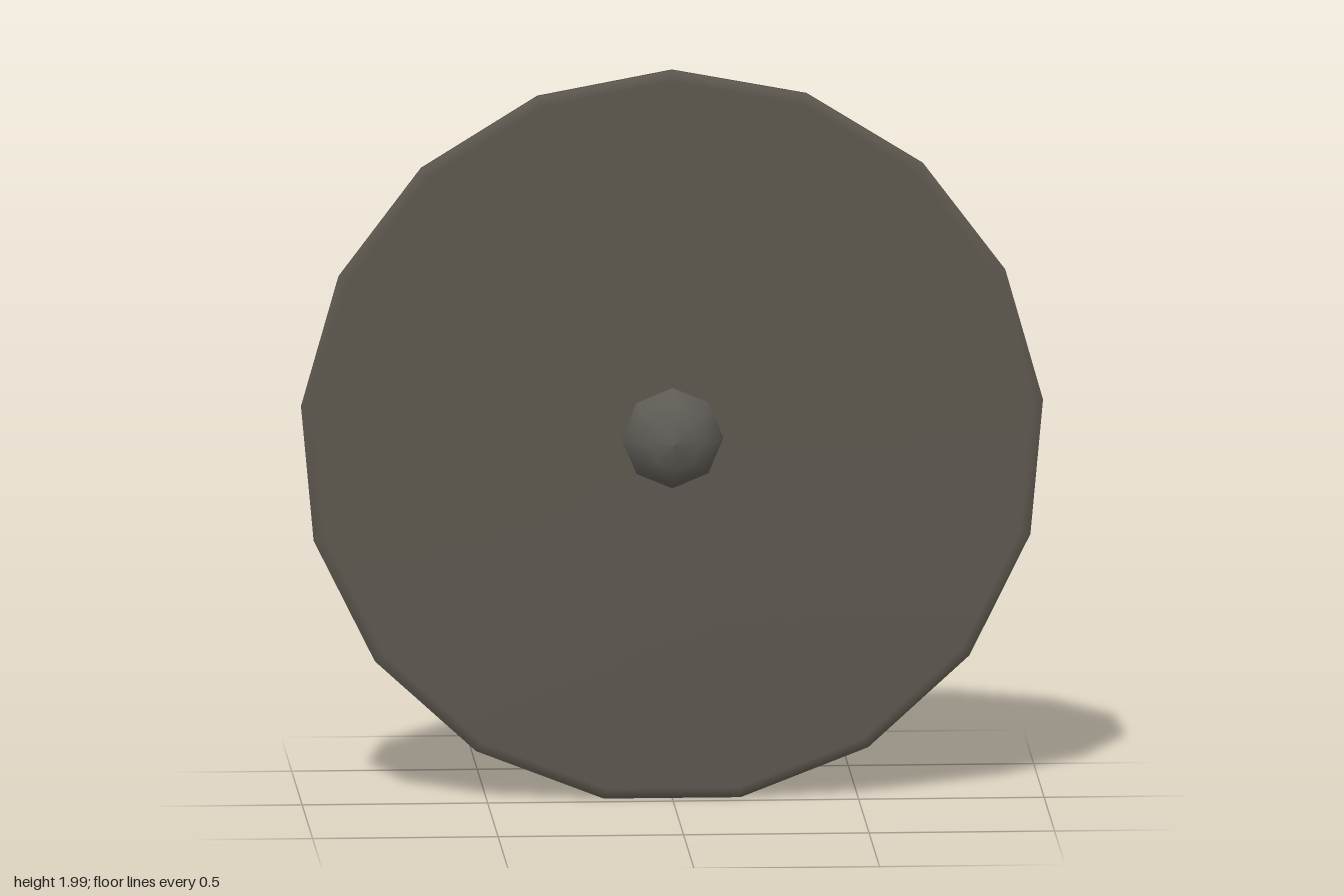
import * as THREE from 'three';

const CENTRE_Y = 0.987;

const boardPaint = new THREE.MeshStandardMaterial({ color: 0x5c574e });
boardPaint.name = 'dark board';
const bossMetal = new THREE.MeshStandardMaterial({ color: 0x5e5b55 });
bossMetal.name = 'dull iron';
const gripWood = new THREE.MeshStandardMaterial({ color: 0x675437 });
gripWood.name = 'grip wood';

// Turns a [radius, z] profile about the z axis, with one corner at the top
function turned(name, profile, sides, material) {
  const points = profile.map(([r, z]) => new THREE.Vector2(r, z));
  const geometry = new THREE.LatheGeometry(points, sides, Math.PI, Math.PI * 2);
  geometry.rotateX(Math.PI / 2);
  const mesh = new THREE.Mesh(geometry, material);
  mesh.name = name;
  mesh.position.y = CENTRE_Y;
  return mesh;
}

export function createModel() {
  const shield = new THREE.Group();
  shield.name = 'roundShield';

  // Slightly dished board with a bevelled rim and a hole behind the boss
  shield.add(turned('board', [
    [0.118, -0.06], [0.975, -0.071], [1.004, -0.062], [1.004, -0.048],
    [0.975, -0.039], [0.118, -0.034],
  ], 17, boardPaint));

  // Wall of the hole
  shield.add(turned('holeWall', [[0.118, -0.034], [0.118, -0.06]], 17, boardPaint));

  // Hollow domed boss: outer skin, then inner skin
  shield.add(turned('boss', [
    [0.138, -0.036], [0.117, 0.017], [0.07, 0.057], [0, 0.071],
  ], 8, bossMetal));
  shield.add(turned('bossInside', [
    [0, 0.061], [0.064, 0.048], [0.109, 0.01], [0.13, -0.036],
  ], 8, bossMetal));

  // Hand grip across the back
  const grip = new THREE.Mesh(new THREE.BoxGeometry(1.19, 0.04, 0.026), gripWood);
  grip.name = 'grip';
  grip.position.set(0, CENTRE_Y, -0.058);
  shield.add(grip);

  return shield;
}
